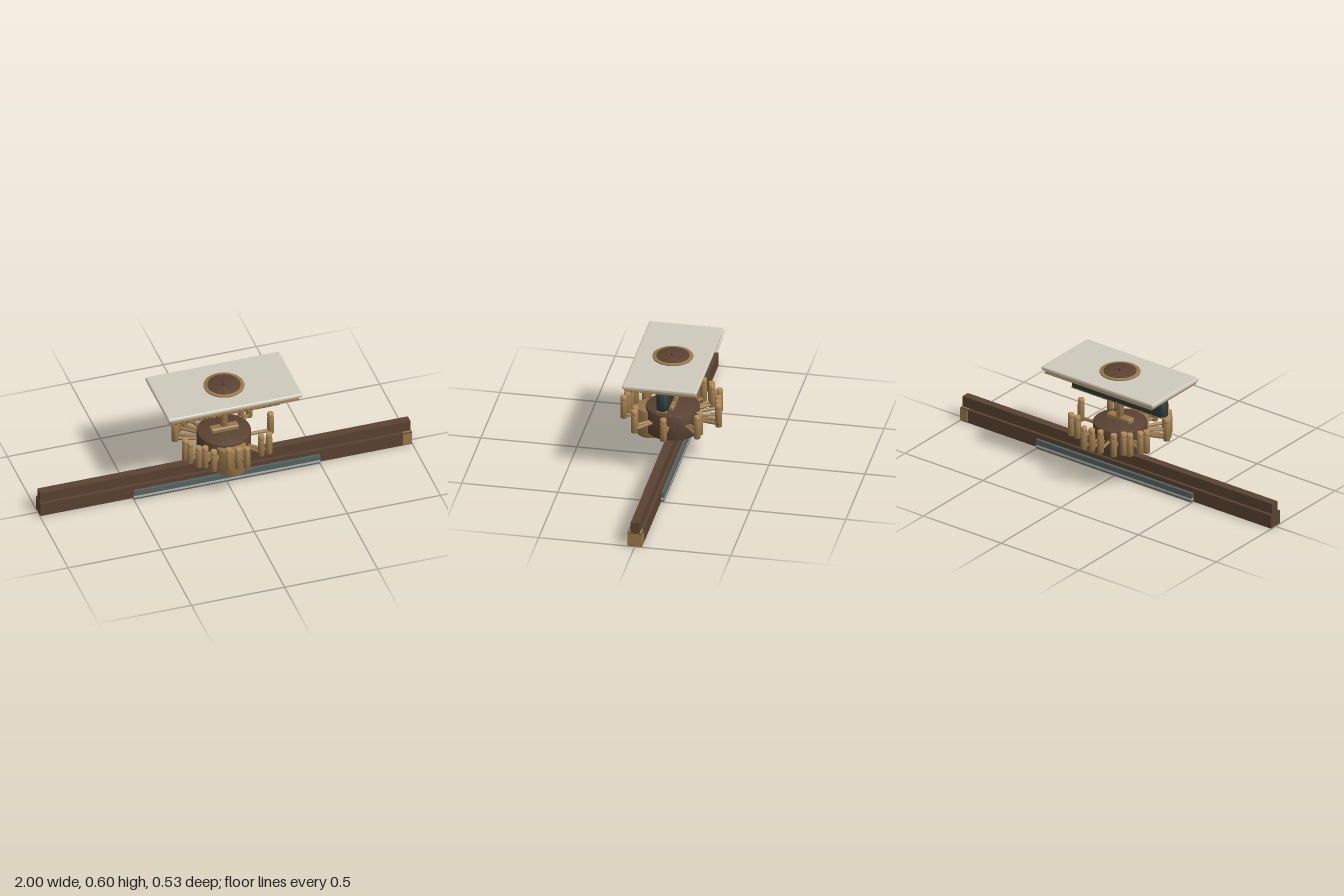
import * as THREE from 'three';
import { RoundedBoxGeometry } from 'three/addons/geometries/RoundedBoxGeometry.js';
import { toCreasedNormals } from 'three/addons/utils/BufferGeometryUtils.js';

const mat = (name, color) => {
  const m = new THREE.MeshStandardMaterial({ color });
  m.name = name;
  return m;
};

export function createModel() {
  const brown = mat('dark wood', 0x5a4232);
  const brass = mat('aged brass', 0x98774a);
  const paleBrass = mat('pale brass', 0xb08c5a);
  const cream = mat('cream', 0xcdcabc);
  const teal = mat('dark teal', 0x2b3a3c);
  const slate = mat('slate', 0x566260);
  const silver = mat('silver', 0xb8b7b0);

  const root = new THREE.Group();
  root.name = 'mechanism';

  const add = (name, geo, material, x = 0, y = 0, z = 0, parent = root) => {
    const m = new THREE.Mesh(geo, material);
    m.name = name;
    m.position.set(x, y, z);
    parent.add(m);
    return m;
  };
  // Box given by its bottom and top heights
  const box = (name, material, w, y0, y1, d, x = 0, z = 0) =>
    add(name, new THREE.BoxGeometry(w, y1 - y0, d), material, x, (y0 + y1) / 2, z);
  // Upright cylinder with softened rims
  const drumGeo = (r, h, b = 0.004, seg = 40) => {
    const p = [[0, 0], [r - b, 0], [r - b * 0.3, b * 0.3], [r, b], [r, h - b], [r - b * 0.3, h - b * 0.3], [r - b, h], [0, h]];
    const g = new THREE.LatheGeometry(p.map(([x, y]) => new THREE.Vector2(x, y)), seg);
    return toCreasedNormals(g, 0.6);
  };
  const drum = (name, material, r, y0, y1, x = 0, z = 0, b = 0.003, seg = 40) =>
    add(name, drumGeo(r, y1 - y0, b, seg), material, x, y0, z);

  // Long beam with raised rail and a brass end cap
  box('beam', brown, 1.996, 0.002, 0.077, 0.076);
  box('beamRail', brown, 1.99, 0.077, 0.135, 0.044);
  box('endCap', brass, 0.004, 0.006, 0.073, 0.068, 0.998);
  for (const s of [-1, 1]) {
    box('endCapSide', brass, 0.048, 0.006, 0.073, 0.004, 0.974, s * 0.037);
    box('endCapTop', brass, 0.048, 0.076, 0.079, 0.01, 0.974, s * 0.029);
  }

  // Channel clasping the middle of the beam
  box('channelFloor', silver, 1, 0, 0.004, 0.108);
  for (const s of [-1, 1]) {
    box('channelSide', slate, 1, 0.025, 0.053, 0.016, 0, s * 0.046);
    box('channelStripe', silver, 1, 0.012, 0.025, 0.016, 0, s * 0.046);
    box('channelFoot', slate, 1, 0.004, 0.012, 0.016, 0, s * 0.046);
  }

  // Main drum, side barrel and the fittings below them
  drum('mainDrum', brown, 0.139, 0.16, 0.298, 0, 0, 0.006, 56);
  drum('drumBase', paleBrass, 0.09, 0.151, 0.161);
  drum('barrel', brass, 0.077, 0.13, 0.283, 0, 0.114, 0.005);
  drum('barrelBase', paleBrass, 0.048, 0.123, 0.131, 0, 0.114);
  drum('barrelKnob', paleBrass, 0.02, 0.104, 0.135, 0, 0.049, 0.007, 24);
  drum('drumStem', brass, 0.014, 0.08, 0.155, 0, 0.014, 0.002, 24);
  add('drumTopBar', new RoundedBoxGeometry(0.15, 0.03, 0.046, 3, 0.01), brass, 0, 0.312, 0.004);

  // Ring of pegs on spokes: [angle in degrees, radius], mirrored front to back
  const pegs = [[0, 0.25], [41, 0.25], [49, 0.222], [80, 0.251], [90, 0.237], [102, 0.233],
    [120, 0.252], [132, 0.235], [139, 0.25], [152, 0.248], [160, 0.25]];
  const pegGeo = drumGeo(0.0175, 0.098, 0.003, 20);
  const capGeo = drumGeo(0.0165, 0.03, 0.005, 20);
  const spokeGeo = new THREE.CylinderGeometry(0.009, 0.009, 1, 14).rotateZ(Math.PI / 2).translate(0.5, 0, 0);
  for (const [deg, r] of pegs) {
    for (const s of deg === 0 ? [1] : [1, -1]) {
      const arm = new THREE.Group();
      arm.name = 'pegArm';
      arm.rotation.y = (-s * deg * Math.PI) / 180;
      add('peg', pegGeo, brass, r, 0.22, 0, arm);
      add('pegCap', capGeo, paleBrass, r, 0.318, 0, arm);
      add('spoke', spokeGeo, brass, 0.12, 0.236, 0, arm).scale.x = r - 0.12;
      root.add(arm);
    }
  }

  // Central shaft with the ribbed row above it
  drum('shaft', brass, 0.019, 0.29, 0.54, 0, 0, 0.002, 28);
  add('rowBase', new RoundedBoxGeometry(0.59, 0.012, 0.052, 2, 0.004), paleBrass, 0, 0.408, 0);
  const ribGeo = drumGeo(0.032, 0.09, 0.003, 24);
  const ribs = 18;
  for (let i = 0; i < ribs; i++) {
    add('rib', ribGeo, teal, -0.268 + (0.536 * i) / (ribs - 1), 0.411, 0);
  }

  // Table top: slide bar, trim, backing and cream slab
  box('slideBar', teal, 0.65, 0.523, 0.539, 0.03);
  box('lowerTrim', brass, 0.69, 0.537, 0.541, 0.374);
  box('backing', paleBrass, 0.68, 0.541, 0.553, 0.362);
  add('tableTop', new RoundedBoxGeometry(0.72, 0.024, 0.388, 4, 0.009), cream, 0, 0.564, 0);

  // Medallion and pin in the middle of the top
  drum('medallionRing', brass, 0.105, 0.575, 0.583);
  drum('medallion', brown, 0.085, 0.578, 0.586, 0, 0, 0.002);
  drum('pin', brown, 0.01, 0.584, 0.6, 0, 0, 0.002, 20);

  return root;
}
